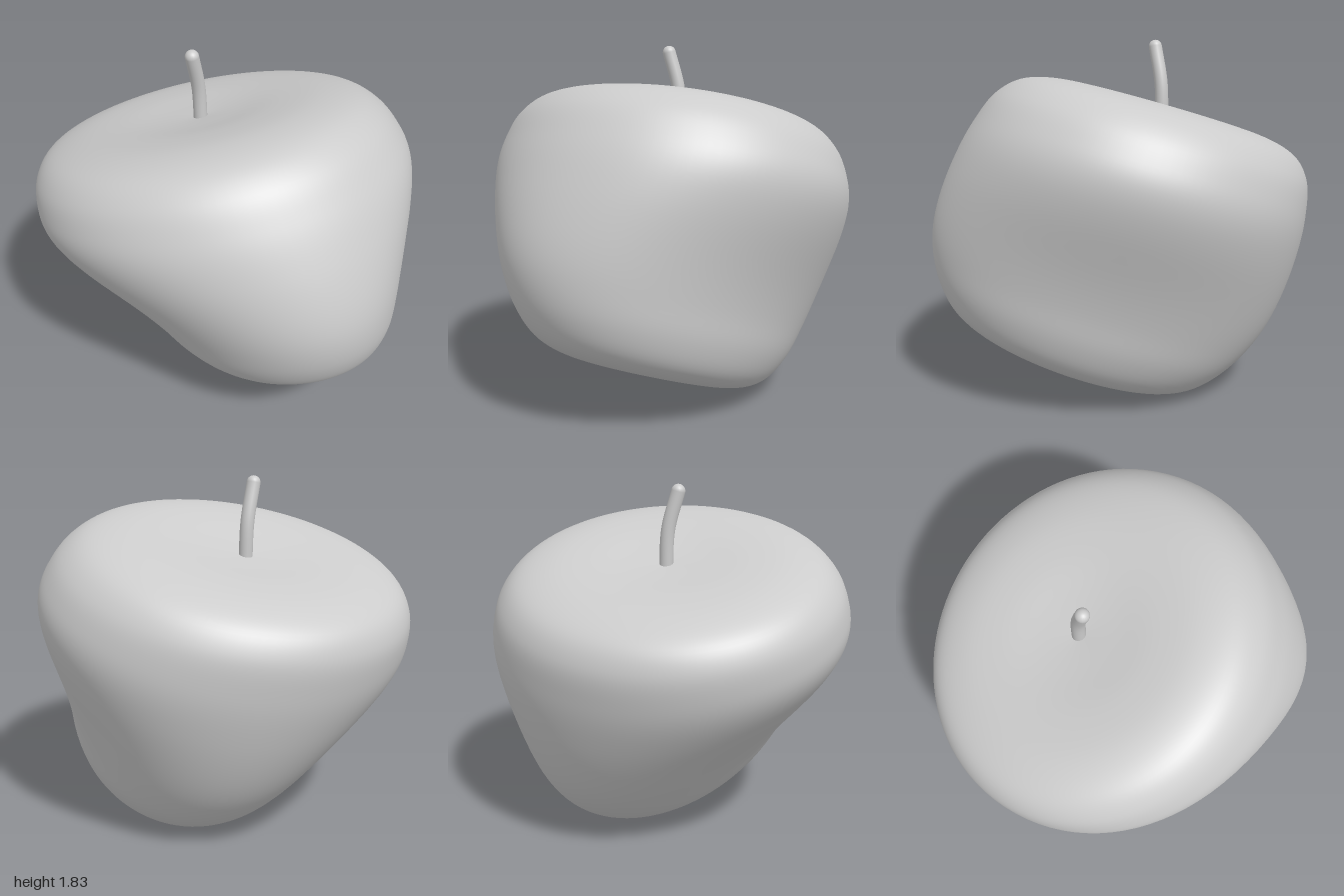
import * as THREE from 'three';
import { mergeVertices } from 'three/addons/utils/BufferGeometryUtils.js';

const material = new THREE.MeshStandardMaterial({ color: 0xcccccc });

// Leaning fruit: a dimpled lathe profile, made oval toward its base, skewed and tilted
function createBody() {
  const profile = [
    [0, -1.375], [0.1, -1.385], [0.25, -1.41], [0.42, -1.41], [0.57, -1.35], [0.685, -1.22],
    [0.775, -1.04], [0.86, -0.82], [0.93, -0.6], [0.96, -0.43], [0.947, -0.29], [0.9, -0.16],
    [0.8, -0.06], [0.63, -0.01], [0.42, -0.005], [0.2, -0.025], [0, -0.04],
  ].map(([r, h]) => new THREE.Vector2(r, h));
  const points = new THREE.SplineCurve(profile).getPoints(90);
  points[0].x = points[points.length - 1].x = 0;
  let geometry = new THREE.LatheGeometry(points, 96);
  geometry.deleteAttribute('uv');
  geometry.deleteAttribute('normal');

  const axis = new THREE.Vector3(-0.385, 0.915, -0.13).normalize();
  const tilt = new THREE.Quaternion().setFromUnitVectors(new THREE.Vector3(0, 1, 0), axis);
  const position = geometry.attributes.position;
  const p = new THREE.Vector3();
  for (let i = 0; i < position.count; i++) {
    p.fromBufferAttribute(position, i);
    const t = THREE.MathUtils.clamp(-p.y / 1.5, 0, 1);
    // Oval along the front-left diagonal, stronger toward the base
    const oval = -0.03 + 0.19 * THREE.MathUtils.smoothstep(t, 0.2, 0.75);
    const { x, z } = p;
    p.x = x + oval * z + 0.04 * t;
    p.z = (z + oval * x) * (0.96 + 0.07 * t) - 0.02 - 0.04 * t;
    // Top and base slope differently
    p.y += -0.13 * p.x + 0.1 * t * t * p.z;
    p.applyQuaternion(tilt);
    position.setXYZ(i, p.x, p.y, p.z);
  }

  // Rest the body on the ground, centred
  geometry.computeBoundingBox();
  const { min, max } = geometry.boundingBox;
  geometry.translate(-(min.x + max.x) / 2, -min.y, -(min.z + max.z) / 2);
  geometry = mergeVertices(geometry, 1e-5);
  geometry.computeVertexNormals();
  const body = new THREE.Mesh(geometry, material);
  body.name = 'fruitBody';
  return body;
}

// Slightly bent stalk with a rounded tip
function createStem() {
  const stem = new THREE.Group();
  stem.name = 'stem';
  const tip = new THREE.Vector3(-0.185, 1.795, 0.015);
  const path = new THREE.CatmullRomCurve3([
    new THREE.Vector3(-0.17, 1.38, -0.045),
    new THREE.Vector3(-0.175, 1.6, -0.035),
    tip,
  ]);
  const stalk = new THREE.Mesh(new THREE.TubeGeometry(path, 24, 0.036, 20), material);
  stalk.name = 'stalk';
  const cap = new THREE.Mesh(new THREE.SphereGeometry(0.036, 20, 14), material);
  cap.name = 'stalkTip';
  cap.position.copy(tip);
  stem.add(stalk, cap);
  return stem;
}

export function createModel() {
  const model = new THREE.Group();
  model.name = 'fruit';
  model.add(createBody(), createStem());
  return model;
}
